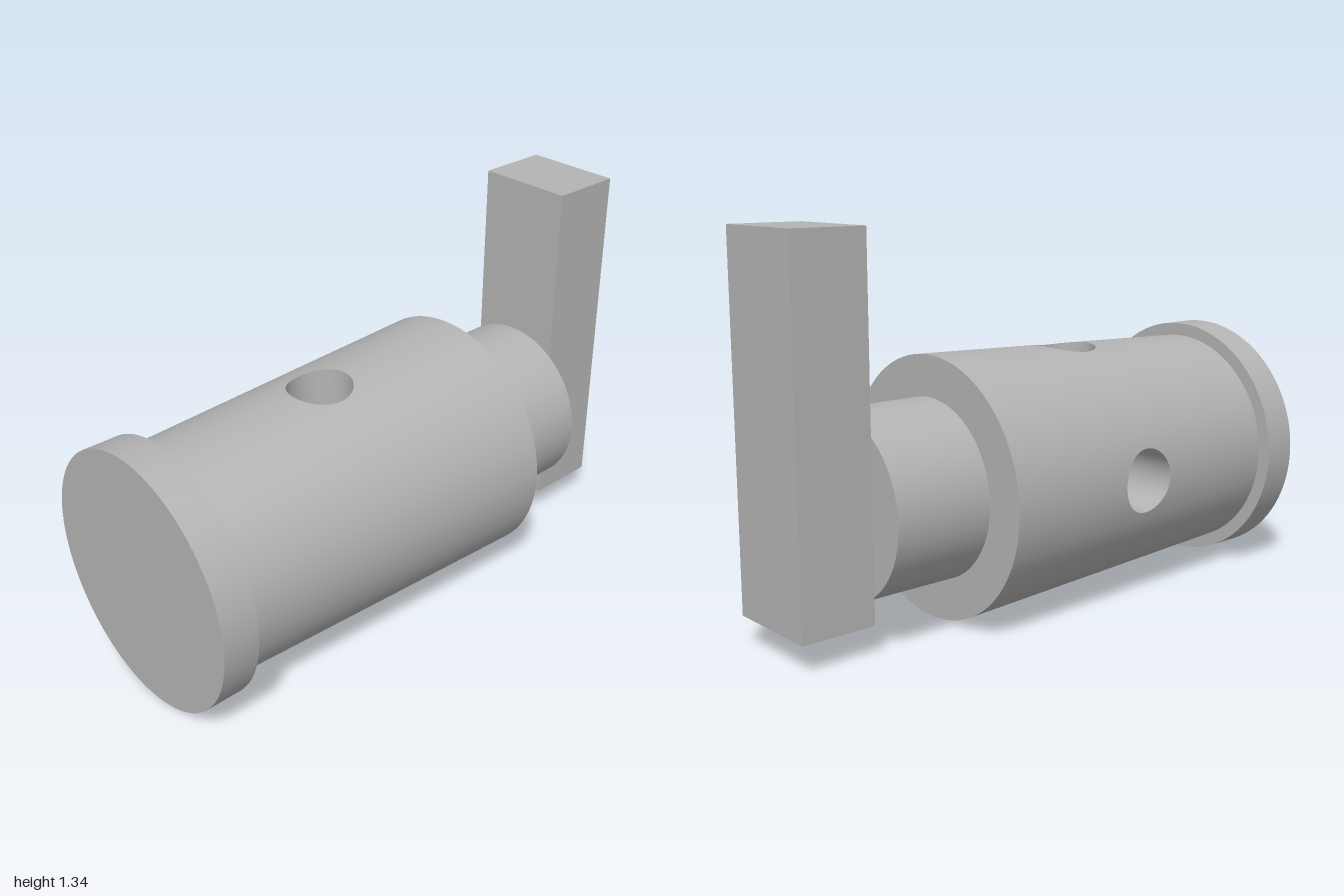
import * as THREE from 'three';

const AXIS_Y = 0.453, SEG = 24;
const Z_BACK = -0.375, Z_FRONT = 0.87, R_BACK = 0.452, R_FRONT = 0.405;
const PORT_Z = 0.24, PORT_R = 0.113;
const SLOPE = (R_BACK - R_FRONT) / (Z_FRONT - Z_BACK);
const coneRadius = z => R_BACK - SLOPE * (z - Z_BACK);

// Grid surface from a rule f(i, j) giving a position and a normal
function surface(nu, nv, f) {
  const pos = [], nor = [], idx = [];
  for (let j = 0; j <= nv; j++) for (let i = 0; i <= nu; i++) {
    const { p, n } = f(i, j);
    pos.push(...p);
    nor.push(...n.normalize());
  }
  for (let j = 0; j < nv; j++) for (let i = 0; i < nu; i++) {
    const a = j * (nu + 1) + i, b = a + 1, c = a + nu + 1, d = c + 1;
    idx.push(a, b, c, b, d, c);
  }
  const g = new THREE.BufferGeometry();
  g.setAttribute('position', new THREE.Float32BufferAttribute(pos, 3));
  g.setAttribute('normal', new THREE.Float32BufferAttribute(nor, 3));
  g.setIndex(idx);
  return g;
}

// Point on the tapered plug
function conePoint(theta, z) {
  const r = coneRadius(z), c = Math.cos(theta), s = Math.sin(theta);
  return { p: new THREE.Vector3(r * c, r * s, z), n: new THREE.Vector3(c, s, SLOPE) };
}

// Counter-clockwise walk round the border of a quarter of the skin
function borderPoint(i) {
  const side = Math.floor(i / SEG) % 4, k = (i % SEG) / SEG, q = Math.PI / 4;
  const dz = Z_FRONT - Z_BACK;
  if (side === 0) return [q, Z_BACK + k * dz];
  if (side === 1) return [q - 2 * q * k, Z_FRONT];
  if (side === 2) return [-q, Z_FRONT - k * dz];
  return [-q + 2 * q * k, Z_BACK];
}

// Matching point on the port rim
function rimPoint(i) {
  const [th, z] = borderPoint(i);
  const a = Math.atan2(z - PORT_Z, th * coneRadius(PORT_Z));
  return { a, u: PORT_R * Math.cos(a), z: PORT_Z + PORT_R * Math.sin(a) };
}

// Quarter of the skin with a round port cut in it
function portedSkin(phi) {
  const rows = 10;
  return surface(4 * SEG, rows, (i, j) => {
    const [th, z] = borderPoint(i), rim = rimPoint(i), k = j / rows;
    const rimTh = Math.asin(rim.u / coneRadius(rim.z));
    return conePoint(phi + THREE.MathUtils.lerp(th, rimTh, k), THREE.MathUtils.lerp(z, rim.z, k));
  });
}

// Bore wall from the rim to where it meets the other bores
function boreWall(phi, innerEnd) {
  const d = new THREE.Vector3(Math.cos(phi), Math.sin(phi), 0);
  const t = new THREE.Vector3(-d.y, d.x, 0);
  return surface(4 * SEG, 1, (i, j) => {
    const { a, u, z } = rimPoint(i);
    const h = j ? innerEnd(u) : Math.sqrt(coneRadius(z) ** 2 - u * u);
    const p = d.clone().multiplyScalar(h).addScaledVector(t, u);
    p.z = z;
    const n = t.clone().multiplyScalar(-Math.cos(a));
    n.z = -Math.sin(a);
    return { p, n };
  });
}

export function createModel() {
  const model = new THREE.Group();
  model.name = 'valvePlug';
  const metal = new THREE.MeshStandardMaterial({ color: 0xb4b4b4 });
  metal.name = 'plainGrey';

  const add = (name, geometry, parent = model) => {
    const m = new THREE.Mesh(geometry, metal);
    m.name = name;
    parent.add(m);
    return m;
  };
  const disc = (name, r, z0, z1) => {
    const g = new THREE.CylinderGeometry(r, r, z1 - z0, 96).rotateX(Math.PI / 2);
    add(name, g).position.set(0, AXIS_Y, (z0 + z1) / 2);
  };

  // Tapered plug with a three-way bore: top, bottom and right
  const plug = new THREE.Group();
  plug.name = 'plug';
  plug.position.y = AXIS_Y;
  model.add(plug);
  const ports = [
    ['top', Math.PI / 2, u => Math.max(0, u)],
    ['right', Math.PI, u => Math.abs(u)],
    ['bottom', Math.PI * 1.5, u => Math.max(0, -u)],
  ];
  for (const [name, phi, innerEnd] of ports) {
    add(name + 'Skin', portedSkin(phi), plug);
    add(name + 'Bore', boreWall(phi, innerEnd), plug);
  }
  add('leftSkin', surface(SEG, 1, (i, j) =>
    conePoint((i / SEG - 0.5) * Math.PI / 2, j ? Z_FRONT : Z_BACK)), plug);
  add('plugBackFace', new THREE.CircleGeometry(R_BACK, 96).rotateY(Math.PI), plug).position.z = Z_BACK;

  // Front flange, rear neck and lever
  disc('flange', 0.452, Z_FRONT, 1);
  disc('neck', 0.31, -0.735, Z_BACK);
  add('lever', new THREE.BoxGeometry(0.354, 1.24, 0.265)).position.set(0, 0.725, -0.8675);

  return model;
}
